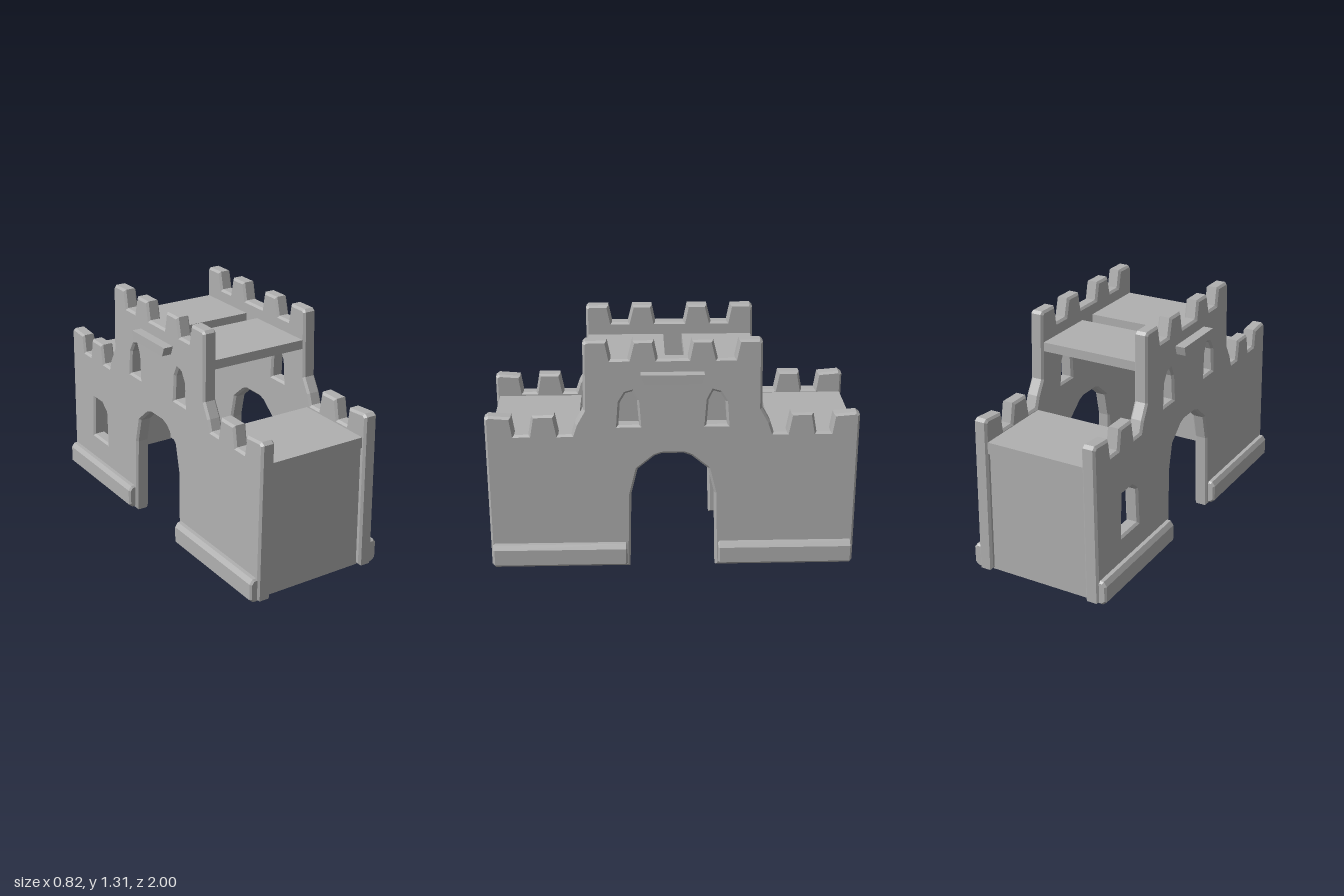
import * as THREE from 'three';

export function createModel() {
  const model = new THREE.Group();
  model.name = 'castleGate';
  const stone = new THREE.MeshStandardMaterial({ color: 0xb0b0b0 });
  stone.name = 'stone grey';

  const add = (name, geometry) => {
    const mesh = new THREE.Mesh(geometry, stone);
    mesh.name = name;
    model.add(mesh);
    return mesh;
  };
  const box = (name, w, y0, y1, z0, z1) =>
    add(name, new THREE.BoxGeometry(w, y1 - y0, z1 - z0))
      .position.set(0, (y0 + y1) / 2, (z0 + z1) / 2);
  const pts = (list) => list.map(([a, b]) => new THREE.Vector2(a, b));

  // Half of the wall outline as (z, y): arch crown, jamb, foot, battlements, tower
  const half = [
    [0.06, 0.675], [0.1, 0.66], [0.19, 0.585], [0.225, 0.44], [0.235, 0], [1, 0.02],
    [1, 0.885], [0.98, 0.9], [0.86, 0.89], [0.845, 0.79], [0.77, 0.79], [0.75, 0.9],
    [0.63, 0.9], [0.61, 0.79], [0.54, 0.79], [0.52, 0.85], [0.475, 0.93], [0.47, 1.295],
    [0.455, 1.31], [0.345, 1.31], [0.325, 1.21], [0.235, 1.21], [0.21, 1.31],
    [0.1, 1.31], [0.08, 1.21],
  ];
  const outline = [...half, ...half.slice().reverse().map(([z, y]) => [-z, y])];
  const archedWindow = [[0.18, 0.84], [0.29, 0.84], [0.28, 0.97], [0.25, 1.02], [0.215, 1.03], [0.19, 0.98]];
  const lowWindow = [[-0.75, 0.29], [-0.58, 0.29], [-0.59, 0.49], [-0.64, 0.53], [-0.74, 0.53]];

  // Side walls, leaning slightly inwards with height
  const bevel = 0.012;
  const thickness = 0.08;
  for (const side of [1, -1]) {
    const shape = new THREE.Shape(pts(outline));
    const holes = [archedWindow, archedWindow.map(([z, y]) => [-z, y])];
    if (side < 0) holes.push(lowWindow);
    holes.forEach((h) => shape.holes.push(new THREE.Path(pts(h))));
    const wall = new THREE.ExtrudeGeometry(shape, {
      depth: thickness - 2 * bevel, bevelEnabled: true, bevelSegments: 1,
      bevelSize: bevel, bevelThickness: bevel, bevelOffset: -bevel,
    });
    wall.translate(0, 0, bevel);
    wall.rotateY(-Math.PI / 2);
    wall.translate(side > 0 ? 0.37 : -0.29, 0, 0);
    const p = wall.attributes.position;
    for (let i = 0; i < p.count; i++) p.setX(i, p.getX(i) * (1 - 0.04 * p.getY(i)));
    wall.computeVertexNormals();
    const sideName = side > 0 ? 'Left' : 'Right';
    add('wall' + sideName, wall);

    // Chamfered plinths along the foot of the wall
    const plinthShape = new THREE.Shape(pts([
      [0.35, 0.015], [0.385, 0.015], [0.408, 0.035], [0.408, 0.125], [0.39, 0.15], [0.35, 0.15],
    ].map(([x, y]) => [x * side, y])));
    for (const end of [1, -1]) {
      const plinth = new THREE.ExtrudeGeometry(plinthShape, {
        depth: 0.72, bevelEnabled: true, bevelSegments: 1,
        bevelSize: 0.01, bevelThickness: 0.01, bevelOffset: -0.01,
      });
      plinth.translate(0, 0, end > 0 ? 0.26 : -0.98);
      add('plinth' + sideName + (end > 0 ? 'Front' : 'Back'), plinth);
    }

    // Ledge under the tower battlements
    const ledge = new THREE.ExtrudeGeometry(
      new THREE.Shape(pts([[-0.15, 1.09], [0.15, 1.09], [0.17, 1.14], [-0.165, 1.14]])),
      { depth: 0.09, bevelEnabled: false });
    ledge.rotateY(-Math.PI / 2);
    ledge.translate(side > 0 ? 0.408 : -0.318, 0, 0);
    add('ledge' + sideName, ledge);
  }

  // End panels and lower roofs
  box('endPanelFront', 0.59, 0.02, 0.715, 0.945, 0.97);
  box('endPanelBack', 0.59, 0.02, 0.715, -0.975, -0.95);
  box('lowerRoofFront', 0.58, 0.71, 0.77, 0.51, 0.98);
  box('lowerRoofBack', 0.58, 0.71, 0.775, -0.99, -0.53);

  // Tower floors
  box('towerFloorFront', 0.58, 1.09, 1.14, 0.035, 0.46);
  box('towerFloorBack', 0.58, 1.09, 1.14, -0.46, -0.07);

  return model;
}
